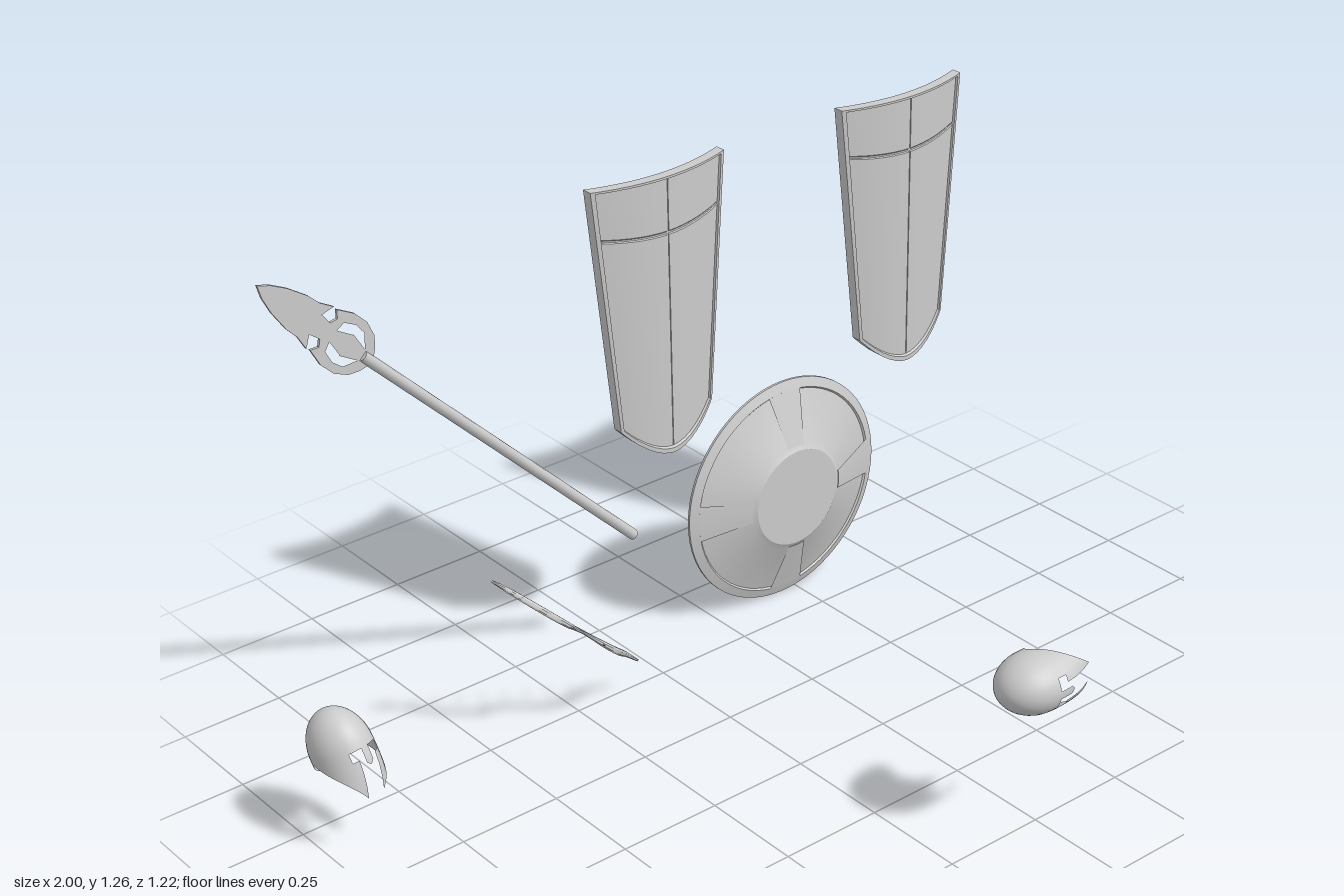
import * as THREE from 'three';
import { mergeVertices, toCreasedNormals } from 'three/addons/utils/BufferGeometryUtils.js';

const material = new THREE.MeshStandardMaterial({ color: 0xcccccc });
const thinMaterial = new THREE.MeshStandardMaterial({ color: 0xcccccc, side: THREE.DoubleSide });

function part(name, geometry, mat = material) {
  const mesh = new THREE.Mesh(geometry, mat);
  mesh.name = name;
  return mesh;
}

function group(name, ...children) {
  const g = new THREE.Group();
  g.name = name;
  g.add(...children);
  return g;
}

function indexed(points, index) {
  const g = new THREE.BufferGeometry();
  g.setAttribute('position', new THREE.Float32BufferAttribute(points.flat(), 3));
  g.setIndex(index);
  return g;
}

// Joins rings of equal, even size from top to bottom; each ring runs along the front, then back.
function loft(rings, crease) {
  const n = rings[0].length, last = (rings.length - 1) * n, index = [];
  const quad = (a, b, c, d) => index.push(a, b, c, a, c, d);
  for (let j = 0; j < rings.length - 1; j++) {
    for (let i = 0; i < n; i++) {
      const k = (i + 1) % n;
      quad(j * n + i, (j + 1) * n + i, (j + 1) * n + k, j * n + k);
    }
  }
  for (let i = 0; i < n / 2 - 1; i++) {
    quad(i, i + 1, n - 2 - i, n - 1 - i);
    quad(last + n - 1 - i, last + n - 2 - i, last + i + 1, last + i);
  }
  return toCreasedNormals(indexed(rings.flat(), index), crease);
}

// Tall curved shield with a raised rim, shallow seams and a rounded point at the bottom
function tallShield() {
  const half = [0.012, 0.016, 0.12, 0.25, 0.4, 0.55, 0.7, 0.82, 0.935, 0.945, 1];
  const us = [...half.map(u => -u).reverse(), ...half];
  const vs = [0, 0.008, 0.012, 0.193, 0.197, 0.203, 0.207, 0.4, 0.6, 0.8, 0.978, 0.983, 1];
  const at = (u, v, front) => {
    const bottom = 0.55 + 0.085 * Math.abs(u) ** 1.8;
    const y = THREE.MathUtils.lerp(1.237, bottom, v);
    const w = 0.187 - 0.054 * Math.min(1, (1.237 - y) / 0.6);
    let z = -0.548 - 0.036 * u * u * (w / 0.187);
    if (!front) z -= 0.026;
    else if (Math.abs(u) < 0.94 && v > 0.01 && v < 0.98) {
      z -= 0.006;
      if (Math.abs(u) < 0.014 || Math.abs(v - 0.2) < 0.005) z -= 0.002;
    }
    return [u * w, y, z];
  };
  const rings = vs.map(v => [
    ...us.map(u => at(u, v, true)),
    ...[...us].reverse().map(u => at(u, v, false)),
  ]);
  return part('tallShield', loft(rings, 0.5));
}

// Round shield: conical face, flat boss, stepped rim and four straps
function roundShield() {
  const turn = (points, segments, start, length) => {
    const g = new THREE.LatheGeometry(points.map(p => new THREE.Vector2(...p)), segments, start, length);
    return toCreasedNormals(g.rotateX(Math.PI / 2), 0.3);
  };
  const body = part('roundShieldBody', turn([
    [0, 0.004], [0.245, 0.004], [0.255, 0], [0.29, 0], [0.29, 0.006],
    [0.267, 0.015], [0.263, 0.011], [0.138, 0.055], [0.125, 0.063], [0, 0.063],
  ], 72));
  const g = group('roundShield', body);
  for (let i = 0; i < 4; i++) {
    const strap = turn([[0.267, 0.01], [0.267, 0.015], [0.136, 0.058], [0.136, 0.05]],
      8, i * Math.PI / 2 - 0.18, 0.36);
    g.add(part('roundShieldStrap', strap, thinMaterial));
  }
  g.position.set(0.46, 0.295, -0.61);
  return g;
}

// Spear: slim shaft with a flat barbed head, pierced beside the neck
function spear() {
  const shaft = new THREE.CylinderGeometry(0.013, 0.013, 0.98, 12).translate(0, 0.49, 0);
  const side = [
    [0.016, 1.28], [0.03, 1.24], [0.041, 1.185], [0.042, 1.15], [0.052, 1.115], [0.024, 1.13],
    [0.02, 1.1], [0.035, 1.09], [0.05, 1.105], [0.064, 1.06], [0.064, 1.02], [0.05, 0.985],
    [0.03, 0.965], [0.013, 0.955],
  ];
  const mirror = pts => pts.map(([x, y]) => [-x, y]).reverse();
  const vectors = pts => pts.map(p => new THREE.Vector2(...p));
  const shape = new THREE.Shape(vectors([[0, 1.308], ...side, ...mirror(side)]));
  const hole = [[0.014, 1.075], [0.036, 1.07], [0.046, 1.04], [0.042, 1.01], [0.014, 0.985], [0.026, 1.03]];
  for (const h of [hole, mirror(hole)]) shape.holes.push(new THREE.Path(vectors(h)));
  const head = new THREE.ExtrudeGeometry(shape, { depth: 0.007, bevelEnabled: false }).translate(0, 0, -0.0035);
  const g = group('spear', part('spearShaft', shaft), part('spearHead', head));
  g.position.set(0, 0.34, -0.6);
  g.rotation.z = 0.785;
  return g;
}

// Recurve bow: tapering limbs with a narrow grip, two spurs and a string
function bow() {
  const half = [[0.267, -0.46], [0.235, -0.458], [0.2, -0.444], [0.155, -0.415], [0.11, -0.394], [0.065, -0.39], [0.04, -0.398]];
  const path = [...half, [0, -0.403], ...half.map(([y, z]) => [-y, z]).reverse()];
  const curve = new THREE.CatmullRomCurve3(path.map(([y, z]) => new THREE.Vector3(0, y, z)));
  const rings = [];
  for (let j = 0; j <= 56; j++) {
    const t = j / 56, e = Math.abs(2 * t - 1);
    const p = curve.getPoint(t), d = curve.getTangent(t);
    const swell = Math.sin(Math.PI * e);
    const wide = 0.003 + 0.005 * swell, deep = 0.003 + 0.007 * Math.sqrt(1 - e * e);
    rings.push(Array.from({ length: 8 }, (_, i) => {
      const a = (i + 0.5) * Math.PI / 4, s = Math.sin(a) * deep;
      return [-Math.cos(a) * wide, p.y + d.z * s, p.z - d.y * s];
    }));
  }
  const string = new THREE.CylinderGeometry(0.0015, 0.0015, 0.52, 6).translate(0, 0, -0.46);
  const g = group('bow', part('bowLimbs', loft(rings, 0.9)), part('bowString', string));
  for (const s of [-1, 1]) {
    const spur = part('bowSpur', new THREE.ConeGeometry(0.006, 0.03, 6));
    spur.position.set(0, s * 0.06, -0.382);
    spur.rotation.x = s > 0 ? 2.2 : 0.94;
    g.add(spur);
  }
  g.position.set(-0.3, 0.286, 0);
  g.rotation.z = 0.818;
  return g;
}

// Helmet: domed shell with eye openings, nose guard, pointed cheek guards and neck guard
function helmet() {
  const half = [0, 4, 8, 14, 20, 26, 33, 42, 52, 62, 72, 82, 92, 102, 112, 120, 130, 140, 150, 160, 170, 180];
  const angles = [...half.slice(1).map(a => -a).reverse(), ...half];
  const brow = 0.1, eye = 0.122, domeRows = 14;
  const edge = a => {
    if (a <= 8) return 0.142 - a * 0.001;
    if (a < 118) return brow + 0.002 + 0.108 * Math.max(0, 1 - (Math.max(a, 20) - 20) / 98) ** 1.25;
    return brow + 0.002 + 0.035 * Math.sin((a - 118) / 62 * Math.PI / 2);
  };
  const rows = domeRows + 4, points = [], index = [];
  const at = (deg, h) => {
    const a = THREE.MathUtils.degToRad(deg), k = Math.min(1, h / 0.095);
    const r = Math.sqrt(1 - (1 - k) ** 2);
    const low = Math.max(0, h - 0.11) / 0.1;
    const front = Math.max(0, Math.cos(a));
    const depth = 0.078 * (1 - 0.38 * low * low * front) + (Math.cos(a) < 0 ? 0.006 * low : 0);
    return [Math.sin(a) * 0.067 * r, 0.07 - h, Math.cos(a) * depth * r];
  };
  for (const deg of angles) {
    const end = edge(Math.abs(deg)), mid = Math.min(end, eye);
    for (let j = 0; j <= rows; j++) {
      const h = j <= domeRows ? brow * (j / domeRows) ** 2
        : j === domeRows + 1 ? mid
        : mid + (end - mid) * (j - domeRows - 1) / 3;
      points.push(at(deg, h));
    }
  }
  for (let i = 0; i < angles.length - 1; i++) {
    const a = Math.abs(angles[i] + angles[i + 1]) / 2;
    for (let j = 0; j < rows; j++) {
      if (j >= domeRows && a > 8 && a < 20) continue;
      if (j === domeRows && a > 20 && a < 33) continue;
      const p = i * (rows + 1) + j, q = p + rows + 1;
      if (j > 0) index.push(p, p + 1, q);
      index.push(p + 1, q + 1, q);
    }
  }
  const geometry = mergeVertices(indexed(points, index), 1e-5);
  geometry.computeVertexNormals();
  return part('helmet', geometry, thinMaterial);
}

export function createModel() {
  const leftShield = tallShield(), rightShield = tallShield();
  leftShield.position.x = 0.813;
  rightShield.position.x = 0.088;

  // One helmet tipped back, the other lying on its side
  const tipped = helmet(), lying = helmet();
  tipped.position.set(-0.931, 0.262, -0.437);
  tipped.rotation.set(-0.49, 0.22, 0, 'YXZ');
  lying.position.set(0.17, 0.405, 0.53);
  lying.rotation.z = Math.PI / 2;

  return group('armory', leftShield, rightShield, roundShield(), spear(), bow(), tipped, lying);
}
